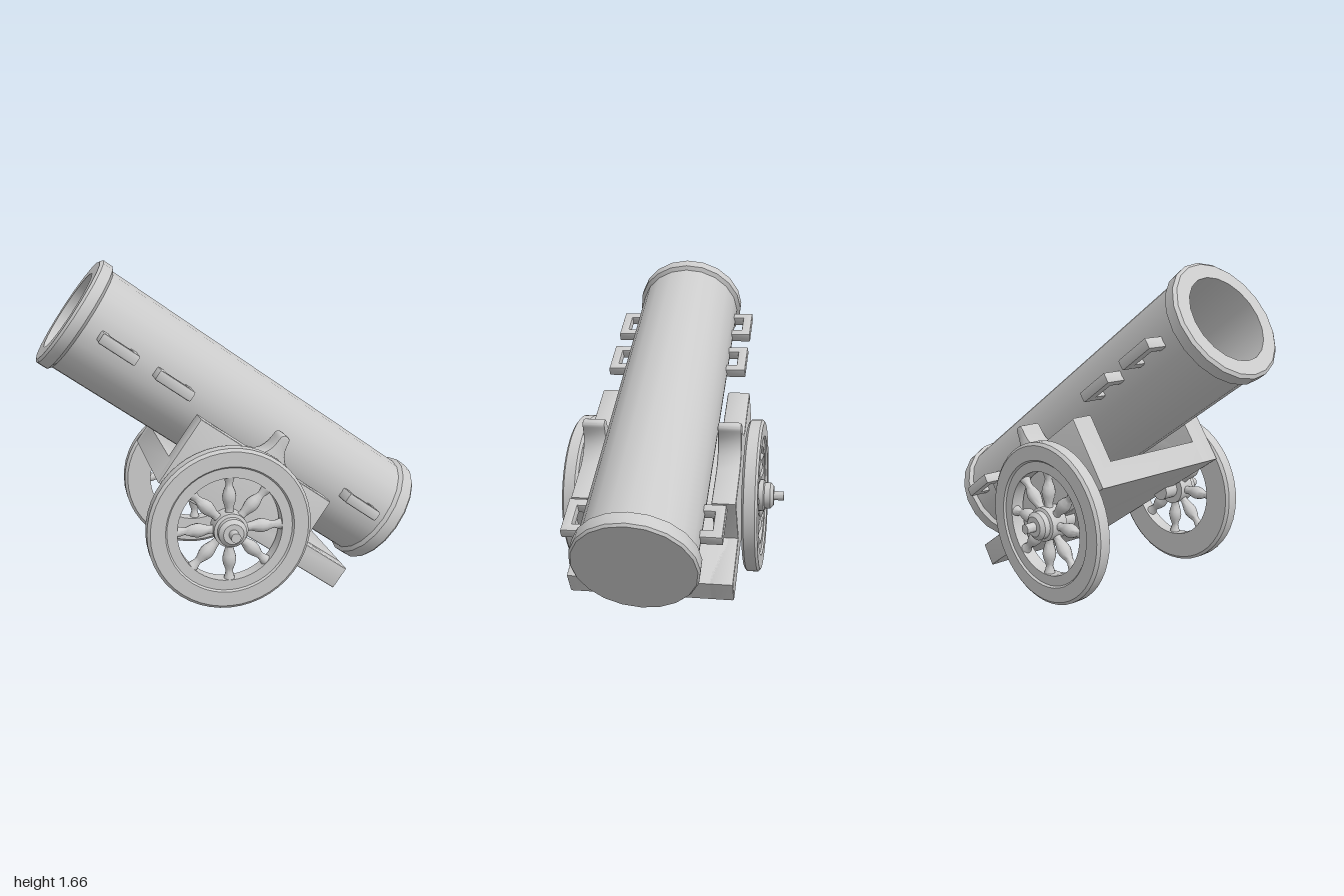
import * as THREE from 'three';
import { toCreasedNormals } from 'three/addons/utils/BufferGeometryUtils.js';

const material = new THREE.MeshStandardMaterial({ color: 0xcccccc });

function part(name, geometry, parent, crease = 0.6) {
  const mesh = new THREE.Mesh(toCreasedNormals(geometry, crease), material);
  mesh.name = name;
  parent.add(mesh);
  return mesh;
}

function lathe(points, segments) {
  return new THREE.LatheGeometry(points.map(([r, y]) => new THREE.Vector2(r, y)), segments);
}

// Bevelled slab cut from an outline, centred on z = 0; the bevel stays inside the outline
function slab(shape, depth, bevel) {
  const geometry = new THREE.ExtrudeGeometry(shape, {
    depth: depth - 2 * bevel, bevelSize: bevel, bevelThickness: bevel,
    bevelOffset: -bevel, bevelSegments: 2, curveSegments: 6,
  });
  return geometry.translate(0, 0, bevel - depth / 2);
}

function polygon(points) {
  return new THREE.Shape(points.map(([x, y]) => new THREE.Vector2(x, y)));
}

// Hollow tube with a raised ring at each end, its axis turned onto x
function addBarrel(parent) {
  const barrel = part('barrel', lathe([
    [0, 0.8], [0.215, 0.8], [0.215, -1.01], [0.285, -1.01], [0.3, -0.998],
    [0.3, -0.945], [0.28, -0.93],
    [0.28, 0.92], [0.3, 0.935], [0.3, 0.998], [0.29, 1.01], [0, 1.01],
  ], 20), parent, 0.45);
  barrel.rotation.z = -Math.PI / 2;
}

// Side cheek with a filleted upright horn on its top edge
function cheekShape() {
  const s = new THREE.Shape();
  s.moveTo(-0.255, -0.43);
  s.lineTo(0.84, -0.43);
  s.lineTo(0.84, -0.31);
  s.lineTo(0.555, -0.31);
  s.lineTo(0.55, -0.063);
  s.lineTo(0.33, -0.063);
  s.quadraticCurveTo(0.2, -0.045, 0.186, 0.06);
  s.quadraticCurveTo(0.186, 0.092, 0.158, 0.092);
  s.quadraticCurveTo(0.13, 0.092, 0.13, 0.06);
  s.quadraticCurveTo(0.13, -0.05, 0.04, -0.063);
  s.lineTo(-0.255, -0.063);
  s.closePath();
  return s;
}

function addCarriage(parent) {
  for (const side of [1, -1]) {
    part('cheek', slab(cheekShape(), 0.12, 0.01), parent).position.z = side * 0.35;
  }
  const bed = polygon([[-0.255, -0.43], [0.84, -0.43], [0.84, -0.31], [-0.255, -0.31]]);
  part('carriageBed', slab(bed, 0.72, 0.001), parent);
}

// U-shaped grips along both flanks of the barrel
function addHandles(parent) {
  const outline = polygon([
    [-0.1, 0.26], [-0.055, 0.26], [-0.055, 0.33], [0.055, 0.33],
    [0.055, 0.26], [0.1, 0.26], [0.1, 0.38], [-0.1, 0.38],
  ]);
  const geometry = slab(outline, 0.055, 0.009);
  for (const u of [-0.755, -0.44, 0.732]) {
    for (const side of [1, -1]) {
      const handle = part('handle', geometry, parent);
      handle.position.x = u;
      handle.rotation.x = side * Math.PI / 2;
    }
  }
}

// Wheel facing +z: rim, turned spokes, hub and axle end
function makeWheel() {
  const wheel = new THREE.Group();
  wheel.name = 'wheel';
  const rim = part('rim', lathe([
    [0.26, -0.04], [0.39, -0.04], [0.405, -0.028], [0.405, 0.028], [0.39, 0.04],
    [0.318, 0.04], [0.31, 0.03], [0.26, 0.03], [0.26, -0.04],
  ], 48), wheel, 0.5);
  const hub = part('hub', lathe([
    [0, -0.045], [0.085, -0.045], [0.085, 0.045], [0.07, 0.05], [0.07, 0.08],
    [0.05, 0.097], [0.024, 0.097], [0.024, 0.15], [0, 0.15],
  ], 24), wheel, 0.5);
  const axle = part('axle', new THREE.CylinderGeometry(0.05, 0.05, 0.1, 20), wheel);
  axle.position.z = -0.08;
  for (const piece of [rim, hub, axle]) piece.rotation.x = Math.PI / 2;

  const spoke = lathe([
    [0.026, 0.06], [0.02, 0.09], [0.023, 0.11], [0.032, 0.14], [0.035, 0.16],
    [0.03, 0.185], [0.02, 0.21], [0.018, 0.225], [0.024, 0.245], [0.03, 0.27],
  ], 12);
  for (let i = 0; i < 8; i++) {
    part('spoke', spoke, wheel, 1).rotation.z = i * Math.PI / 4;
  }
  return wheel;
}

export function createModel() {
  const model = new THREE.Group();
  model.name = 'cannon';

  // Barrel and carriage share one tilt
  const tilted = new THREE.Group();
  tilted.name = 'barrelAndCarriage';
  tilted.position.set(0.003, 0.848, 0);
  tilted.rotation.z = -THREE.MathUtils.degToRad(35.1);
  addBarrel(tilted);
  addCarriage(tilted);
  addHandles(tilted);
  model.add(tilted);

  for (const side of [1, -1]) {
    const wheel = makeWheel();
    wheel.position.set(-0.118, 0.408, side * 0.46);
    if (side < 0) wheel.rotation.y = Math.PI;
    model.add(wheel);
  }
  return model;
}
